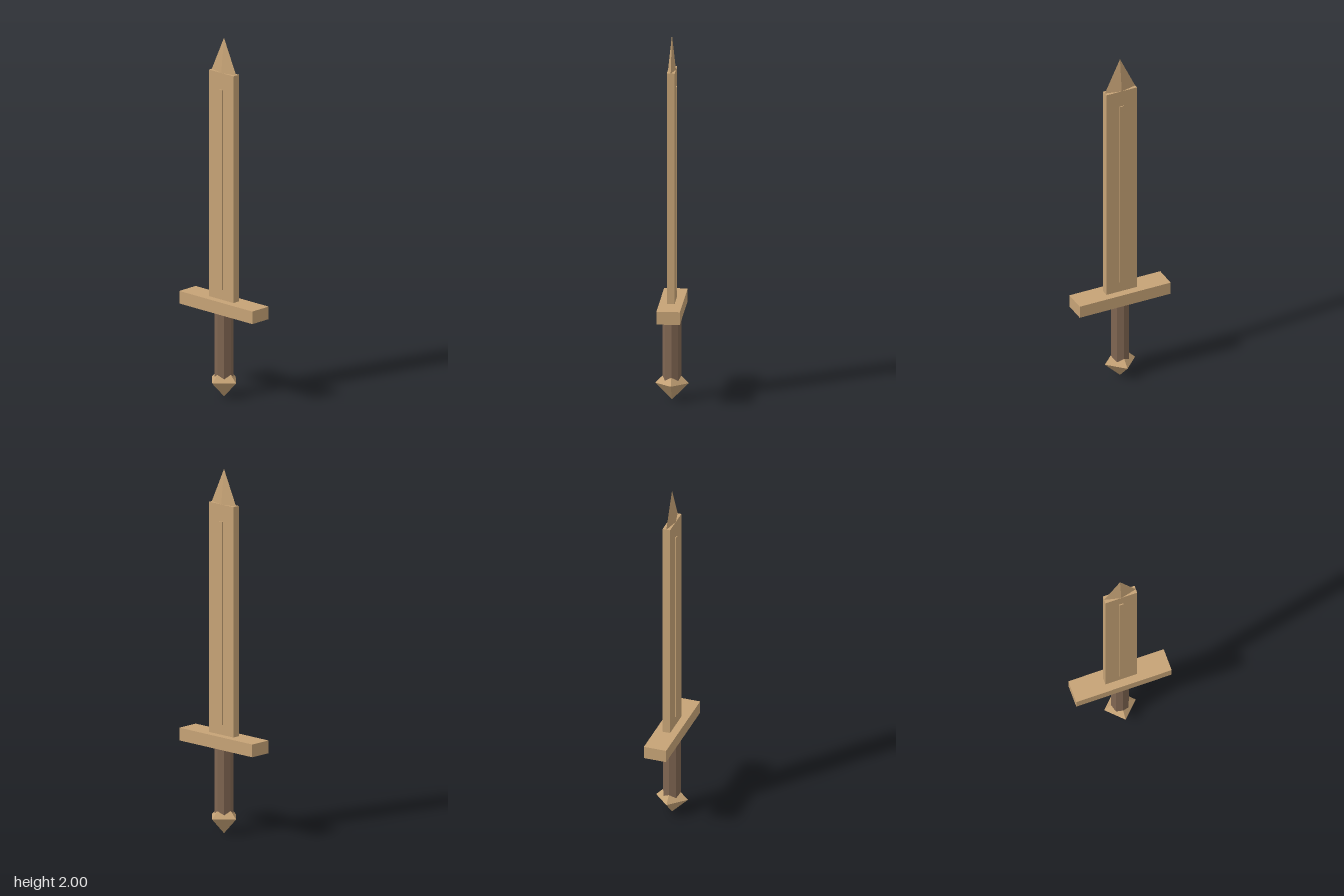
import * as THREE from 'three';

const mat = (name, color) => {
  const m = new THREE.MeshStandardMaterial({ color, flatShading: true });
  m.name = name;
  return m;
};

export function createModel() {
  const paleWood = mat('paleWood', 0xc6a376);
  const darkWood = mat('darkWood', 0x806652);
  const sword = new THREE.Group();
  sword.name = 'sword';

  const add = (name, geometry, material, y, z = 0) => {
    const mesh = new THREE.Mesh(geometry, material);
    mesh.name = name;
    mesh.position.set(0, y, z);
    sword.add(mesh);
    return mesh;
  };
  // Box spanning from one height to another
  const slab = (name, width, bottom, top, depth, z) =>
    add(name, new THREE.BoxGeometry(width, top - bottom, depth), paleWood, (bottom + top) / 2, z);

  // Blade with a narrow raised ridge on each face
  slab('blade', 0.18, 0.54, 1.808, 0.042);
  for (const side of [1, -1]) {
    slab(side > 0 ? 'frontRidge' : 'backRidge', 0.024, 0.6, 1.715, 0.01, side * 0.021);
  }

  // Point: a four-sided cone flattened front to back
  const point = new THREE.ConeGeometry(0.09, 0.192, 4);
  point.scale(1, 1, 0.235);
  add('bladePoint', point, paleWood, 1.904);

  // Crossguard
  slab('crossguard', 0.54, 0.474, 0.544, 0.126);

  // Octagonal grip and octahedral pommel
  add('grip', new THREE.CylinderGeometry(0.05, 0.05, 0.4, 8), darkWood, 0.29);
  add('pommel', new THREE.OctahedronGeometry(0.09), paleWood, 0.092);

  // Settle the pommel tip on the ground
  sword.children.forEach((part) => {
    if (part.name === 'pommel') part.position.y = 0.09;
  });
  return sword;
}
